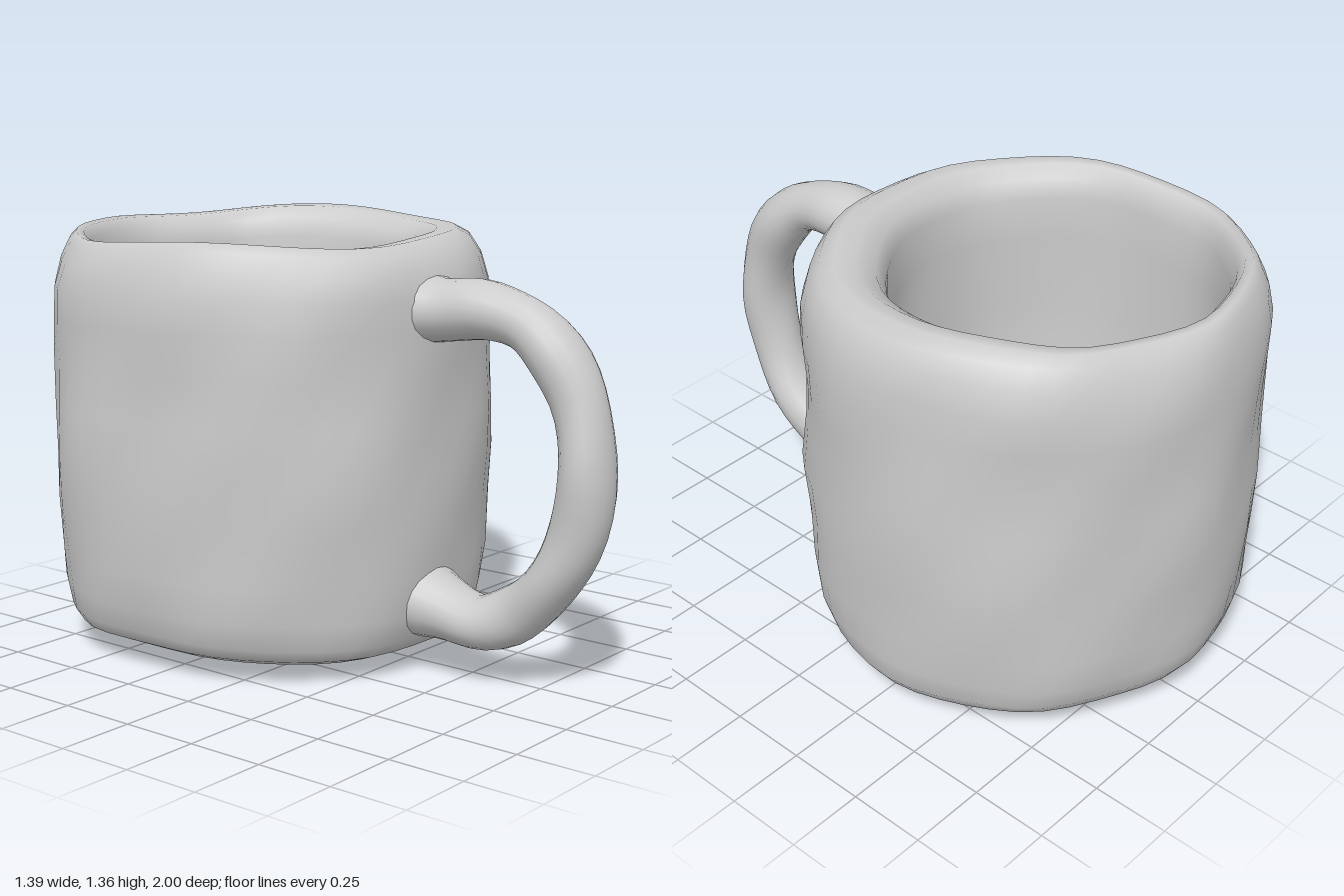
import * as THREE from 'three';

const SEG = 48;
const material = new THREE.MeshStandardMaterial({ color: 0xcccccc, side: THREE.DoubleSide });

// Skin a list of closed rings (arrays of Vector3) with smooth shared normals
function loft(rings, name) {
  const n = rings[0].length, index = [];
  for (let i = 0; i < rings.length - 1; i++) {
    for (let j = 0; j < n; j++) {
      const k = (j + 1) % n;
      const a = i * n + j, b = i * n + k, c = a + n, d = b + n;
      index.push(a, b, d, a, d, c);
    }
  }
  const geometry = new THREE.BufferGeometry().setFromPoints(rings.flat());
  geometry.setIndex(index);
  geometry.computeVertexNormals();
  const mesh = new THREE.Mesh(geometry, material);
  mesh.name = name;
  return mesh;
}

// Gentle hand-made unevenness
const lump = (a, y) =>
  0.006 * Math.sin(5 * a + 7 * y) + 0.005 * Math.sin(9 * a - 11 * y + 1) + 0.004 * Math.sin(3 * a + 17 * y);

// Cup: uneven outer outline blending over the rim into a rounder well
function createCup() {
  const radii = [0.71, 0.71, 0.7, 0.7, 0.69, 0.685, 0.685, 0.675, 0.7, 0.7, 0.715, 0.725, 0.69, 0.695, 0.71, 0.725];
  const outline = new THREE.CatmullRomCurve3(radii.map((r, i) => {
    const a = (i / radii.length) * Math.PI * 2;
    return new THREE.Vector3(r * Math.sin(a), 0, r * Math.cos(a));
  }), true);

  // [scale of outline, height, blend towards the well centre]
  const profile = [
    [0.001, 0.012, 0], [0.3, 0.014, 0], [0.6, 0.035, 0], [0.8, 0.06, 0], [0.9, 0.09, 0], [0.94, 0.13, 0],
    [0.965, 0.21, 0], [0.98, 0.33, 0], [0.99, 0.5, 0], [1, 0.65, 0], [0.99, 0.8, 0], [0.985, 0.95, 0],
    [0.99, 1.08, 0], [0.985, 1.18, 0], [0.955, 1.26, 0], [0.91, 1.315, 0.1], [0.86, 1.34, 0.3],
    [0.8, 1.335, 0.6], [0.745, 1.3, 0.9], [0.715, 1.24, 1], [0.71, 1.1, 1], [0.72, 0.85, 1],
    [0.71, 0.6, 1], [0.68, 0.4, 1], [0.62, 0.27, 1], [0.52, 0.2, 1], [0.3, 0.17, 1], [0.001, 0.16, 1],
  ];
  const rings = profile.map(([s, y, well]) => Array.from({ length: SEG }, (_, j) => {
    const a = (j / SEG) * Math.PI * 2;
    const p = outline.getPoint(j / SEG).multiplyScalar(s * (1 + lump(a, y)));
    // The rim rises towards the back left and wavers around the edge
    const top = THREE.MathUtils.smoothstep(y, 0.9, 1.34);
    const lift = top * (0.025 * Math.max(0, Math.cos(a - 2)) + 0.01 * Math.sin(4 * a));
    // The base edge turns up a little at the back
    const base = (1 - THREE.MathUtils.smoothstep(y, 0.1, 0.3)) * (1 - well) * s;
    const tilt = base * (0.02 * Math.max(0, -Math.cos(a)) + 0.008 * Math.sin(3 * a));
    return new THREE.Vector3(p.x - 0.05 * well, y + lift + tilt, p.z - 0.3 - 0.04 * well);
  }));
  return loft(rings, 'cup');
}

// Handle: lumpy loop flaring where it joins the cup
function createHandle() {
  const path = new THREE.CatmullRomCurve3([
    [-0.05, 1.14, 0.28], [-0.05, 1.14, 0.42], [-0.04, 1.15, 0.57], [-0.03, 1.1, 0.73], [-0.02, 0.94, 0.86],
    [-0.03, 0.7, 0.915], [-0.035, 0.46, 0.865], [-0.035, 0.28, 0.73], [-0.05, 0.2, 0.58],
    [-0.05, 0.22, 0.42], [-0.05, 0.25, 0.28],
  ].map((p) => new THREE.Vector3(...p)));
  const steps = 44, sides = 18, rings = [];
  for (let i = 0; i <= steps; i++) {
    const t = i / steps;
    const c = path.getPoint(t), d = path.getTangent(t);
    const flare = Math.max(0, Math.abs(t - 0.5) * 2 - 0.55) / 0.45;
    const wide = 0.092 + 0.06 * flare ** 1.3 + 0.006 * Math.sin(t * 41);
    const thick = 0.084 + 0.05 * flare ** 2 + 0.005 * Math.sin(t * 33 + 2);
    const normal = new THREE.Vector3(0, -d.z, d.y).normalize();
    rings.push(Array.from({ length: sides }, (_, j) => {
      const a = (j / sides) * Math.PI * 2;
      const p = c.clone().addScaledVector(normal, thick * Math.cos(a));
      p.x += wide * Math.sin(a);
      return p;
    }));
  }
  return loft(rings, 'handle');
}

export function createModel() {
  const mug = new THREE.Group();
  mug.name = 'mug';
  mug.add(createCup(), createHandle());
  return mug;
}
